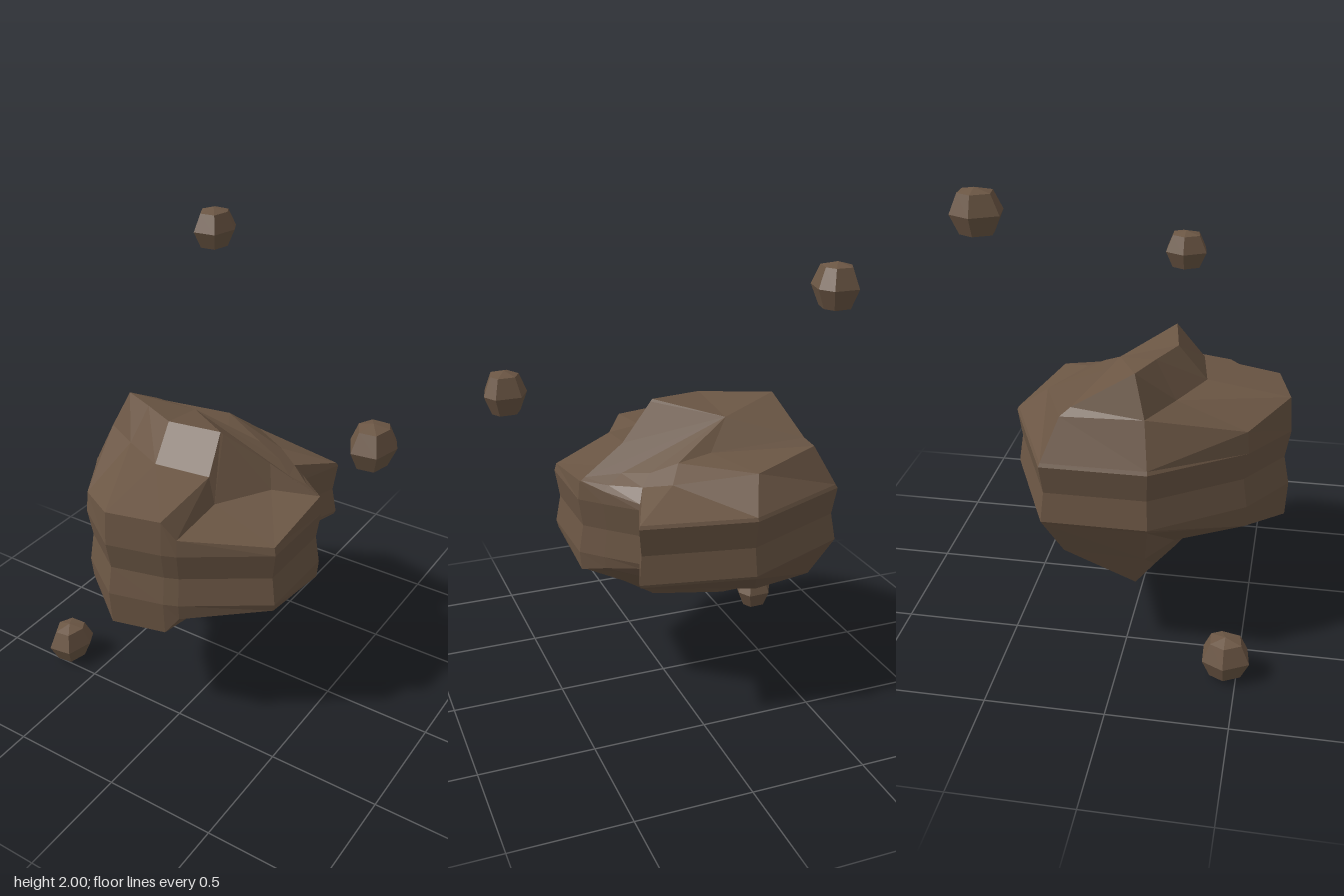
import * as THREE from 'three';

const material = new THREE.MeshStandardMaterial({ color: 0x6b5644, flatShading: true, roughness: 0.9 });

// Closed faceted solid through stacked rings (bottom to top) with a tip at each end
function loft(name, rings, bottomTip, topTip) {
  const pos = [];
  const tri = (...points) => points.forEach((p) => pos.push(...p));
  const n = rings[0].length;
  for (let i = 0; i < n; i++) {
    const j = (i + 1) % n;
    for (let r = 0; r < rings.length - 1; r++) {
      const a = rings[r], b = rings[r + 1];
      tri(a[i], b[i], b[j]);
      tri(a[i], b[j], a[j]);
    }
    const first = rings[0], last = rings[rings.length - 1];
    tri(bottomTip, first[i], first[j]);
    tri(last[i], topTip, last[j]);
  }
  const geometry = new THREE.BufferGeometry();
  geometry.setAttribute('position', new THREE.Float32BufferAttribute(pos, 3));
  geometry.computeVertexNormals();
  const mesh = new THREE.Mesh(geometry, material);
  mesh.name = name;
  return mesh;
}

// Plan outline [x, z] of the boulder, clockwise from the back
const outline = [
  [-0.22, -0.53], [0.27, -0.435], [0.2, -0.24], [0.32, -0.12], [0.405, -0.03], [0.405, 0.35],
  [0.07, 0.575], [0.01, 0.6], [-0.23, 0.66], [-0.46, 0.5], [-0.71, 0.125], [-0.71, -0.31],
];
// Height of the wall rim above the waist, one per outline point
const rim = [0.14, 0.14, 0.15, 0.18, 0.21, 0.16, 0.2, 0.28, 0.28, 0.22, 0.14, 0.14];
// Inner edge of the shelf [x, height, z]
const shelf = [
  [-0.29, 0.27, -0.37], [0.06, 0.23, -0.27], [0.17, 0.21, -0.2], [0.29, 0.2, -0.1],
  [0.39, 0.21, -0.03], [0.2, 0.22, 0.05], [0.06, 0.22, 0.28], [0.02, 0.33, 0.26],
  [-0.23, 0.335, 0.3], [-0.44, 0.33, 0.2], [-0.62, 0.32, 0.1], [-0.62, 0.31, -0.24],
];
// Crest above the shelf [x, height, z]
const crest = [
  [-0.16, 0.31, -0.16], [0, 0.29, -0.18], [0.12, 0.25, -0.15], [0.22, 0.235, -0.07],
  [0.37, 0.22, -0.02], [0.18, 0.335, 0.03], [0.01, 0.475, 0.135], [0, 0.485, 0.14],
  [-0.24, 0.485, 0.18], [-0.4, 0.485, 0.11], [-0.55, 0.485, 0.05], [-0.59, 0.34, -0.2],
];

function createBoulder() {
  const scaled = (s, height) => outline.map(([x, z], i) => [-0.15 + (x + 0.15) * s, height(i), z * s]);
  const waist = scaled(0.965, () => 0);
  const belt = scaled(1, () => 0.125);
  const wall = scaled(0.985, (i) => rim[i]);
  const upper = [belt, wall, shelf, crest];
  // The underside mirrors the top
  const flip = ([x, y, z]) => [x, -y, z];
  const lower = upper.map((ring) => ring.map(flip)).reverse();
  const tip = [-0.27, 0.43, -0.06];
  const boulder = loft('boulder', [...lower, waist, ...upper], flip(tip), tip);
  boulder.position.y = 0.82;
  return boulder;
}

function createFragment(x, y, z) {
  const plan = [[-0.05, -0.09], [0.06, -0.095], [0.095, -0.03], [0.065, 0.09], [-0.04, 0.105], [-0.095, 0]];
  const ring = (s, h) => plan.map(([px, pz]) => [px * s, h, pz * s]);
  const rock = loft('rockFragment', [ring(0.66, -0.08), ring(1, 0), ring(0.66, 0.08)], [0, -0.097, 0], [0, 0.097, 0]);
  rock.position.set(x, y, z);
  return rock;
}

export function createModel() {
  const group = new THREE.Group();
  group.name = 'asteroid';
  group.add(createBoulder());
  // Loose fragments floating around the boulder
  for (const p of [[-0.5, 1.905, -0.565], [0.675, 1.42, 0.085], [-0.68, 0.097, 0.45]]) group.add(createFragment(...p));
  return group;
}
